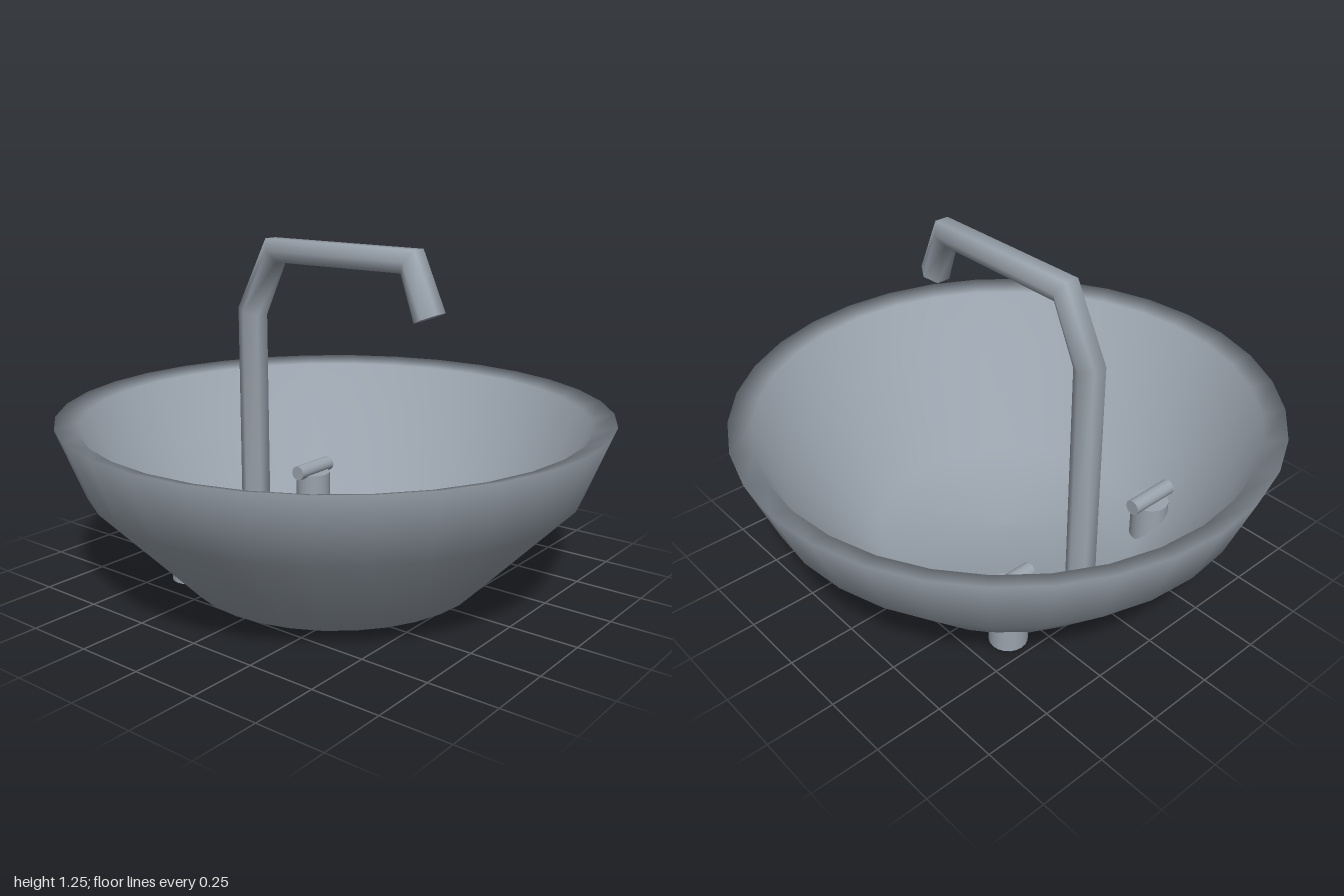
import * as THREE from 'three';

const ceramic = new THREE.MeshStandardMaterial({ color: 0x9aa3ad });
ceramic.name = 'grey ceramic';

function add(parent, name, geometry, x = 0, y = 0, z = 0) {
  const mesh = new THREE.Mesh(geometry, ceramic);
  mesh.name = name;
  mesh.position.set(x, y, z);
  parent.add(mesh);
  return mesh;
}

// Hexagonal pipe along a path of [y, z] points, with one ring per point and capped ends
function hexPipe(path, rx, rn) {
  const sides = 6, pos = [], index = [];
  const pts = path.map(([y, z]) => new THREE.Vector2(y, z));
  const last = pts.length - 1;
  const dir = (i) => pts[i + 1].clone().sub(pts[i]).normalize();
  const ring = (i) => {
    const t = new THREE.Vector2();
    if (i > 0) t.add(dir(i - 1));
    if (i < last) t.add(dir(i));
    t.normalize();
    for (let j = 0; j < sides; j++) {
      const a = (j / sides) * Math.PI * 2, n = Math.sin(a) * rn;
      pos.push(Math.cos(a) * rx, pts[i].x - t.y * n, pts[i].y + t.x * n);
    }
  };
  for (let i = 0; i <= last; i++) ring(i);
  for (let i = 0; i < last; i++) {
    for (let j = 0; j < sides; j++) {
      const a = i * sides + j, b = i * sides + (j + 1) % sides;
      index.push(a, a + sides, b, b, a + sides, b + sides);
    }
  }
  // End caps have their own corners so their edges stay sharp
  for (const i of [0, last]) {
    const s = pos.length / 3;
    ring(i);
    for (let j = 1; j < sides - 1; j++) {
      index.push(s, ...(i === 0 ? [s + j, s + j + 1] : [s + j + 1, s + j]));
    }
  }
  const g = new THREE.BufferGeometry();
  g.setAttribute('position', new THREE.Float32BufferAttribute(pos, 3));
  g.setIndex(index);
  g.computeVertexNormals();
  return g;
}

export function createModel() {
  const model = new THREE.Group();
  model.name = 'washbasin';

  // Bowl: outside from the base up, over the sloping rim, then down the inside
  const profile = [
    [0, 0.005], [0.55, 0.025], [0.9, 0.39], [1, 0.645],
    [0.92, 0.622], [0.83, 0.4], [0.5, 0.088], [0, 0.065],
  ].map(([r, y]) => new THREE.Vector2(r, y));
  add(model, 'bowl', new THREE.LatheGeometry(profile, 32));

  // Angular spout rising through the floor of the bowl
  const spoutPath = [[0.003, -0.4], [0.965, -0.4], [1.203, -0.28], [1.203, 0.325], [1.017, 0.4]];
  add(model, 'spout', hexPipe(spoutPath, 0.055, 0.057));

  // Pair of taps, each a round post with a crossbar
  for (const side of [-1, 1]) {
    const tap = new THREE.Group();
    tap.name = side > 0 ? 'leftTap' : 'rightTap';
    tap.position.set(side * 0.36, 0, -0.405);
    add(tap, 'tapPost', new THREE.CylinderGeometry(0.07, 0.07, 0.24, 20), 0, 0.12, 0);
    add(tap, 'tapCrossbar', new THREE.CylinderGeometry(0.03, 0.03, 0.2, 12), 0, 0.255, 0).rotation.z = Math.PI / 2;
    model.add(tap);
  }
  return model;
}
